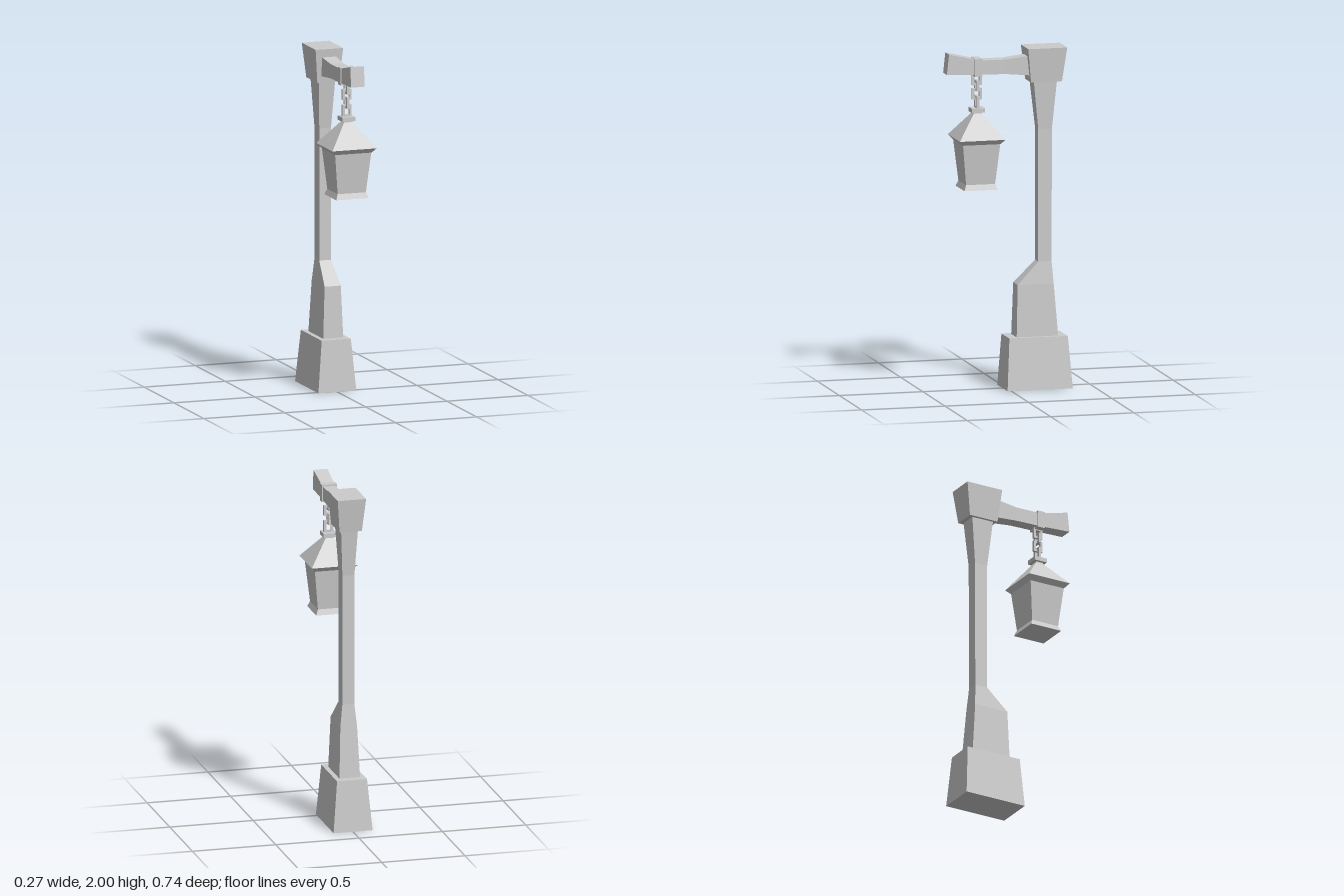
import * as THREE from 'three';

const material = new THREE.MeshStandardMaterial({ color: 0xcccccc, flatShading: true });

// Joins four-cornered rings into a closed, flat-shaded solid.
// Corners run counter-clockwise as seen from beyond the last ring.
function loft(name, rings) {
  const pos = [];
  const quad = (a, b, c, d) => pos.push(...a, ...b, ...c, ...a, ...c, ...d);
  for (let r = 0; r < rings.length - 1; r++) {
    const lo = rings[r], hi = rings[r + 1];
    for (let i = 0; i < 4; i++) {
      const j = (i + 1) % 4;
      quad(lo[i], lo[j], hi[j], hi[i]);
    }
  }
  const first = rings[0], last = rings[rings.length - 1];
  quad(first[3], first[2], first[1], first[0]);
  quad(last[0], last[1], last[2], last[3]);
  const geometry = new THREE.BufferGeometry();
  geometry.setAttribute('position', new THREE.Float32BufferAttribute(pos, 3));
  geometry.computeVertexNormals();
  const mesh = new THREE.Mesh(geometry, material);
  mesh.name = name;
  return mesh;
}

// Upright ring: height, half width, back z, front z
const level = ([y, w, back, front]) =>
  [[-w, y, front], [w, y, front], [w, y, back], [-w, y, back]];
const tower = (name, levels) => loft(name, levels.map(level));

// Square tower about its own axis: height, half width
const squareTower = (name, levels) => tower(name, levels.map(([y, w]) => [y, w, -w, w]));

// Rectangular chain link with an open middle
function chainLink(height) {
  const w = 0.029, h = height / 2, bar = 0.015, depth = 0.016;
  const rect = (Type, x, y) => new Type([[-x, -y], [x, -y], [x, y], [-x, y]]
    .map(([px, py]) => new THREE.Vector2(px, py)));
  const shape = rect(THREE.Shape, w, h);
  shape.holes.push(rect(THREE.Path, w - bar, h - bar));
  const geometry = new THREE.ExtrudeGeometry(shape, { depth, bevelEnabled: false });
  geometry.translate(0, 0, -depth / 2);
  const mesh = new THREE.Mesh(geometry, material);
  mesh.name = 'chainLink';
  return mesh;
}

export function createModel() {
  const model = new THREE.Group();
  model.name = 'lampPost';

  // Tapered plinth
  model.add(tower('base', [[0, 0.117, -0.368, 0.023], [0.305, 0.09, -0.345, 0.005]]));

  // Post with a stepped foot in front and a flared head
  model.add(tower('post', [
    [0.3, 0.062, -0.295, -0.046],
    [0.61, 0.05, -0.271, -0.055],
    [0.74, 0.036, -0.262, -0.182],
    [1.52, 0.036, -0.264, -0.182],
    [1.81, 0.051, -0.291, -0.151],
  ]));

  // Block on top of the post
  model.add(tower('cap', [[1.8, 0.067, -0.316, -0.131], [2, 0.085, -0.343, -0.11]]));

  // Arm rings: half width, bottom y and z, top y and z
  const armRings = [
    [0.044, 1.838, -0.14, 1.955, -0.14],
    [0.038, 1.852, 0.015, 1.937, 0.015],
    [0.038, 1.855, 0.17, 1.938, 0.17],
    [0.042, 1.863, 0.367, 1.982, 0.354],
  ];
  model.add(loft('arm', armRings.map(([w, y0, z0, y1, z1]) =>
    [[-w, y0, z0], [w, y0, z0], [w, y1, z1], [-w, y1, z1]])));

  // Band round the arm, chain and lantern share one axis
  const hanging = new THREE.Group();
  hanging.name = 'hangingLantern';
  hanging.position.z = 0.177;
  model.add(hanging);

  hanging.add(tower('armBand', [[1.845, 0.045, -0.023, 0.023], [1.948, 0.045, -0.023, 0.023]]));

  // Links turned a quarter at each step
  [[1.822, 0.066], [1.787, 0.062], [1.738, 0.066], [1.69, 0.074]].forEach(([y, height], i) => {
    const link = chainLink(height);
    link.position.y = y;
    link.rotation.y = i % 2 ? 0 : Math.PI / 2;
    hanging.add(link);
  });

  // Collar, hipped roof and tapered lantern body
  hanging.add(squareTower('collar', [[1.632, 0.04], [1.657, 0.04]]));
  hanging.add(squareTower('roof', [[1.455, 0.112], [1.483, 0.137], [1.625, 0.024], [1.635, 0.024]]));
  hanging.add(squareTower('lanternBody', [[1.185, 0.1], [1.218, 0.087], [1.46, 0.112]]));

  return model;
}
